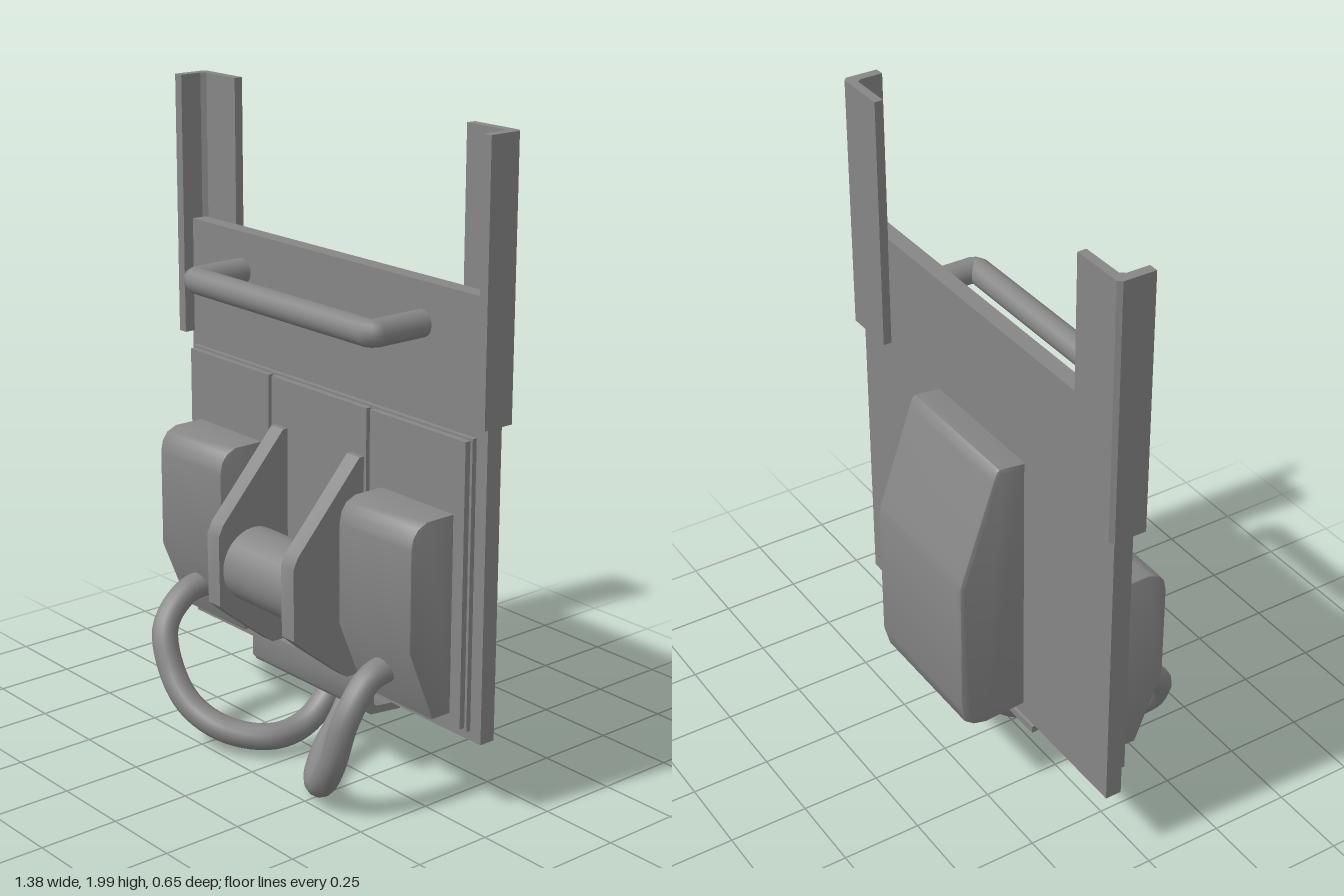
import * as THREE from 'three';
import { toCreasedNormals } from 'three/addons/utils/BufferGeometryUtils.js';

const material = new THREE.MeshStandardMaterial({ color: 0x868686 });

export function createModel() {
  const model = new THREE.Group();

  const add = (name, geometry) => {
    const mesh = new THREE.Mesh(geometry, material);
    mesh.name = name;
    model.add(mesh);
    return mesh;
  };

  // Box given by its limits on each axis
  const box = (name, x0, x1, y0, y1, z0, z1) =>
    add(name, new THREE.BoxGeometry(x1 - x0, y1 - y0, z1 - z0)
      .translate((x0 + x1) / 2, (y0 + y1) / 2, (z0 + z1) / 2));

  // Side profile of [z, y] points, extruded across x with optional bevelled ends
  const slab = (name, profile, x0, x1, bevel = 0) => {
    const shape = new THREE.Shape(profile.map(([z, y]) => new THREE.Vector2(z, y)));
    const geometry = new THREE.ExtrudeGeometry(shape, {
      depth: x1 - x0 - 2 * bevel, bevelEnabled: bevel > 0,
      bevelSize: bevel, bevelThickness: bevel, bevelOffset: -bevel, bevelSegments: 2,
    });
    geometry.rotateY(-Math.PI / 2).translate(x1 - bevel, 0, 0);
    return add(name, toCreasedNormals(geometry, 0.7));
  };

  // Carrier plate and, just clear of it, three thin panels on a common backing
  box('backPlate', -0.668, 0.668, 0.247, 1.553, -0.105, -0.053);
  box('panelBacking', -0.634, 0.634, 0.283, 1.157, -0.044, -0.029);
  const panels = [[-0.625, -0.237], [-0.222, 0.213], [0.228, 0.625]];
  for (const [x0, x1] of panels) box('frontPanel', x0, x1, 0.293, 1.15, -0.032, -0.011);

  for (const side of [-1, 1]) {
    // Angle rail: flat flange behind the plate, lip wrapping its edge
    const rail = new THREE.Shape([
      [0.507, 0.132], [0.679, 0.132], [0.691, 0.12], [0.691, 0.018], [0.66, 0.018],
      [0.66, 0.09], [0.648, 0.104], [0.507, 0.104],
    ].map(([x, z]) => new THREE.Vector2(side * x, z)));
    const railGeometry = new THREE.ExtrudeGeometry(rail, { depth: 0.805, bevelEnabled: false });
    add(side > 0 ? 'leftRail' : 'rightRail', railGeometry.rotateX(-Math.PI / 2).translate(0, 1.195, 0));

    // Padded pouch
    const inner = side * 0.276, outer = side * 0.583;
    slab(side > 0 ? 'leftPouch' : 'rightPouch', [
      [-0.015, 0.328], [0.055, 0.328], [0.145, 0.55], [0.145, 0.855], [0.138, 0.89],
      [0.12, 0.915], [0.085, 0.93], [-0.015, 0.93],
    ], Math.min(inner, outer), Math.max(inner, outer), 0.006);

    // Roller cheek bracket
    slab('rollerBracket', [
      [-0.02, 0.33], [0.05, 0.33], [0.2, 0.45], [0.25, 0.495], [0.252, 0.715],
      [0.235, 0.75], [0.005, 1.003], [-0.02, 1.003],
    ], side * 0.175 - 0.028, side * 0.175 + 0.028);
  }

  // Roller between the brackets
  add('roller', new THREE.CylinderGeometry(0.115, 0.115, 0.32, 32)
    .rotateZ(Math.PI / 2).translate(0, 0.605, 0.122));

  // Hooked lip under the brackets
  slab('bottomLip', [
    [-0.105, 0.208], [0.01, 0.22], [0.026, 0.24], [0.026, 0.33], [-0.002, 0.33],
    [0.0, 0.25], [-0.012, 0.242], [-0.105, 0.232],
  ], -0.277, 0.268);

  // Rear housing
  slab('rearHousing', [
    [-0.1, 1.18], [-0.17, 1.19], [-0.19, 1.19], [-0.2, 1.18], [-0.21, 1.155],
    [-0.318, 0.845], [-0.326, 0.815], [-0.326, 0.375],
    [-0.308, 0.31], [-0.285, 0.292], [-0.24, 0.28], [-0.1, 0.29],
  ], -0.232, 0.237, 0.015);

  // Tubes along paths of points
  const points = (list) => list.map((p) => new THREE.Vector3(...p));
  const handlePoints = points([
    [-0.412, 1.432, -0.06], [-0.412, 1.432, 0.12], [-0.402, 1.432, 0.13],
    [0.386, 1.432, 0.13], [0.396, 1.432, 0.12], [0.396, 1.432, -0.06],
  ]);
  const handlePath = new THREE.CurvePath();
  for (let i = 1; i < handlePoints.length; i++)
    handlePath.add(new THREE.LineCurve3(handlePoints[i - 1], handlePoints[i]));
  add('handle', new THREE.TubeGeometry(handlePath, 120, 0.04, 16));

  const cable = (name, list) =>
    add(name, new THREE.TubeGeometry(new THREE.CatmullRomCurve3(points(list)), 48, 0.041, 12));
  cable('rightCable', [
    [-0.435, 0.45, 0.06], [-0.437, 0.435, 0.16], [-0.415, 0.35, 0.26], [-0.345, 0.22, 0.285],
    [-0.26, 0.135, 0.275], [-0.15, 0.083, 0.225], [-0.055, 0.068, 0.13], [-0.035, 0.085, 0.02],
    [-0.035, 0.16, -0.08], [-0.045, 0.3, -0.17],
  ]);
  cable('leftCable', [
    [0.425, 0.45, 0.06], [0.428, 0.43, 0.16], [0.425, 0.33, 0.24], [0.385, 0.18, 0.258],
    [0.305, 0.08, 0.23], [0.21, 0.047, 0.17], [0.13, 0.08, 0.07], [0.07, 0.15, -0.06],
    [0.04, 0.3, -0.16],
  ]);

  return model;
}
